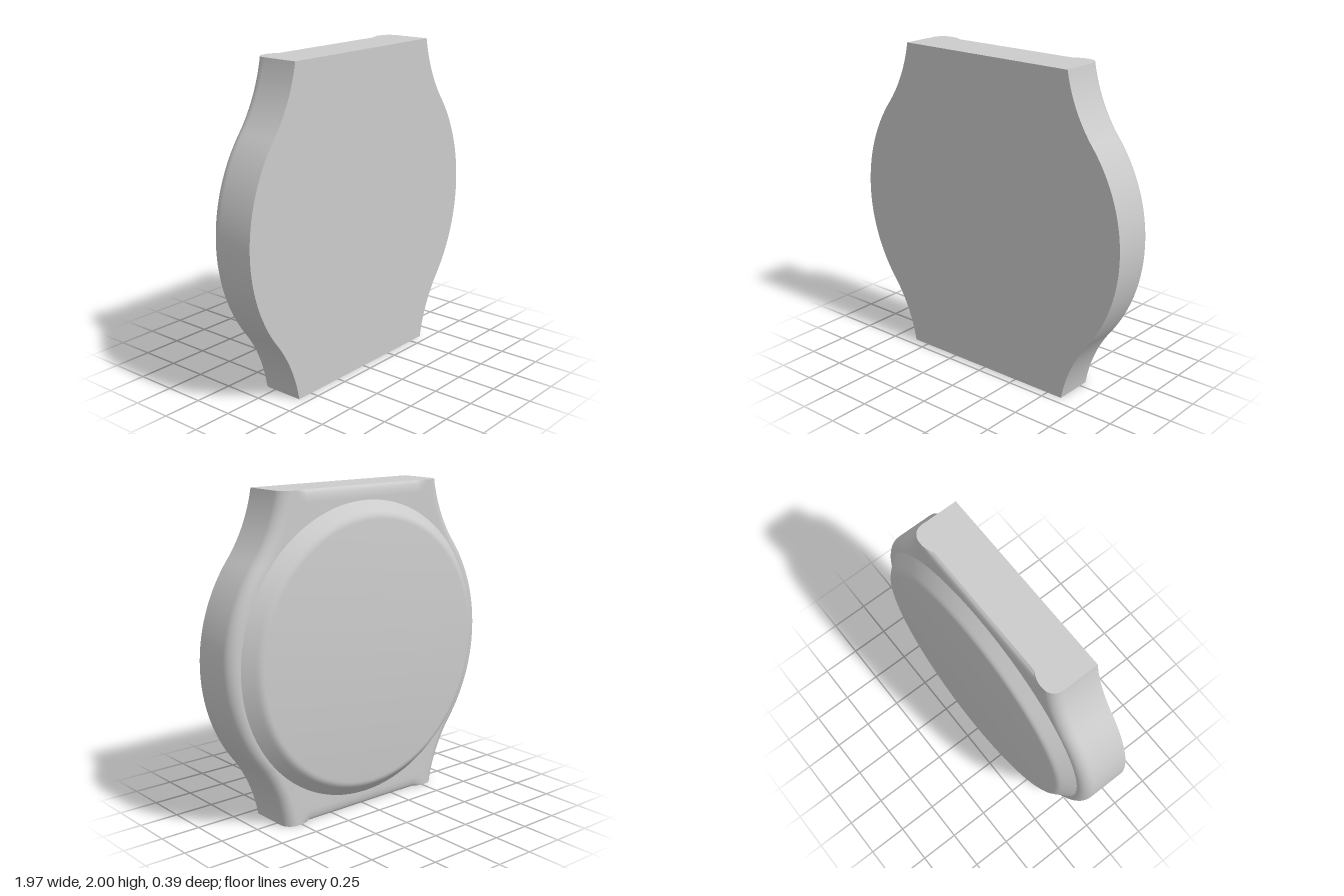
import * as THREE from 'three';
import { toCreasedNormals } from 'three/addons/utils/BufferGeometryUtils.js';

const FRONT = 0.195, BACK = -0.112, EDGE = 0.075;

// Half width at height d from the middle: a convex arc flowing into a concave lug arc
function halfWidth(d) {
  return d < 0.6
    ? Math.sqrt(0.985 ** 2 - d * d)
    : 1.509 - Math.sqrt(0.918 ** 2 - (d - 1.159) ** 2);
}

// Horizontal cross-section of the case as a loop of [x, z]
function section(y) {
  const d = Math.abs(y - 1);
  const w = halfWidth(d);
  const slope = (halfWidth(Math.min(1, d + 0.005)) - halfWidth(Math.min(1, d + 0.005) - 0.01)) / 0.01;
  const inset = EDGE * Math.sqrt(1 + slope * slope);
  // Rounded drop between the lugs, only near the ends
  const t = Math.max(0, (d - 0.925) / 0.075);
  const drop = 0.028 * (1 - Math.sqrt(Math.max(0, 1 - t * t)));

  const half = [[w, FRONT]];
  for (let i = 0; i <= 8; i++) {
    const a = (i / 8) * Math.PI / 2;
    half.push([w - inset * (1 - Math.cos(a)), BACK + EDGE * (1 - Math.sin(a))]);
  }
  half.push([0.5, BACK], [0.475, BACK + drop * 0.2], [0.45, BACK + drop * 0.55], [0.43, BACK + drop]);
  const mirrored = half.map(([x, z]) => [-x, z]).reverse();
  return [[0, FRONT], ...half, [0, BACK + drop], ...mirrored];
}

// Case lofted from bottom to top through its cross-sections
function caseGeometry() {
  const heights = [];
  for (let i = 0; i <= 8; i++) heights.push(0.075 * i / 8);
  for (let i = 1; i < 72; i++) heights.push(0.075 + 1.85 * i / 72);
  for (let i = 0; i <= 8; i++) heights.push(1.925 + 0.075 * i / 8);

  const positions = [], index = [];
  const n = section(1).length;
  for (const y of heights) for (const [x, z] of section(y)) positions.push(x, y, z);
  for (let r = 0; r < heights.length - 1; r++) {
    for (let i = 0; i < n; i++) {
      const a = r * n + i, b = r * n + (i + 1) % n;
      index.push(a, b, a + n, b, b + n, a + n);
    }
  }
  // Flat ends
  const top = (heights.length - 1) * n;
  for (let i = 1; i < n - 1; i++) {
    index.push(0, i + 1, i);
    index.push(top, top + i, top + i + 1);
  }
  const geometry = new THREE.BufferGeometry();
  geometry.setAttribute('position', new THREE.Float32BufferAttribute(positions, 3));
  geometry.setIndex(index);
  return toCreasedNormals(geometry, 0.6);
}

// Round cover with a sloped rim and a softened shoulder
function coverGeometry() {
  const base = -BACK;
  const profile = [
    [0.912, base - 0.02], [0.912, base], [0.857, base + 0.055], [0.846, base + 0.066],
    [0.834, base + 0.075], [0.82, base + 0.081], [0.805, base + 0.083], [0, base + 0.083],
  ].map(([r, h]) => new THREE.Vector2(r, h));
  const geometry = new THREE.LatheGeometry(profile, 96);
  geometry.rotateX(-Math.PI / 2);
  return toCreasedNormals(geometry, 0.6);
}

export function createModel() {
  const group = new THREE.Group();
  group.name = 'watchCase';
  const material = new THREE.MeshStandardMaterial({ color: 0xcccccc });

  const body = new THREE.Mesh(caseGeometry(), material);
  body.name = 'caseBody';

  const cover = new THREE.Mesh(coverGeometry(), material);
  cover.name = 'roundBackCover';
  cover.position.y = 1;

  group.add(body, cover);
  return group;
}
